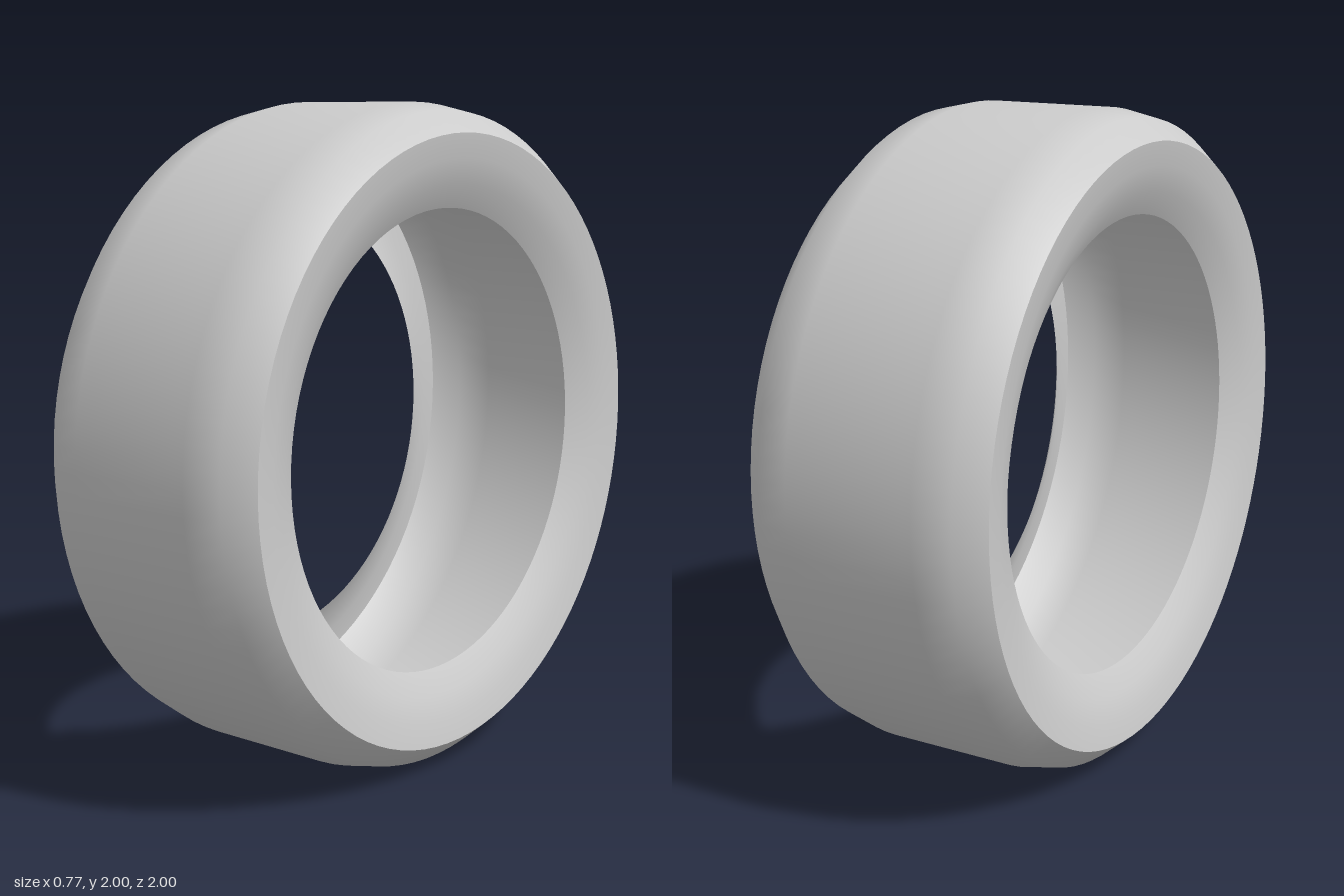
import * as THREE from 'three';

const SEGMENTS = 96;

// Thin open shell turned about the wheel axis; points are [radius, offset along axis]
function turned(name, points, material) {
  const profile = points.map(([r, a]) => new THREE.Vector2(r, a));
  const mesh = new THREE.Mesh(new THREE.LatheGeometry(profile, SEGMENTS), material);
  mesh.name = name;
  return mesh;
}

export function createModel() {
  const group = new THREE.Group();
  group.name = 'tire';
  const rubber = new THREE.MeshStandardMaterial({ color: 0xcccccc, side: THREE.DoubleSide });

  // Tread band with softly bevelled shoulders
  const shoulder = [[1, 0.2], [0.977, 0.31], [0.913, 0.384]];
  const mirrored = shoulder.map(([r, a]) => [r, -a]).reverse();
  const tread = turned('tread', [...mirrored, ...shoulder], rubber);
  tread.rotation.z = -Math.PI / 2;
  group.add(tread);

  // Dished sidewalls, curving inwards to the open bead
  const wall = [[0.913, 0.384], [0.84, 0.373], [0.765, 0.35], [0.695, 0.31]];
  for (const [name, side] of [['leftSidewall', 1], ['rightSidewall', -1]]) {
    const sidewall = turned(name, wall, rubber);
    sidewall.rotation.z = -side * Math.PI / 2;
    group.add(sidewall);
  }

  // Stand the tire on the ground
  group.children.forEach((part) => { part.position.y = 1; });
  return group;
}
